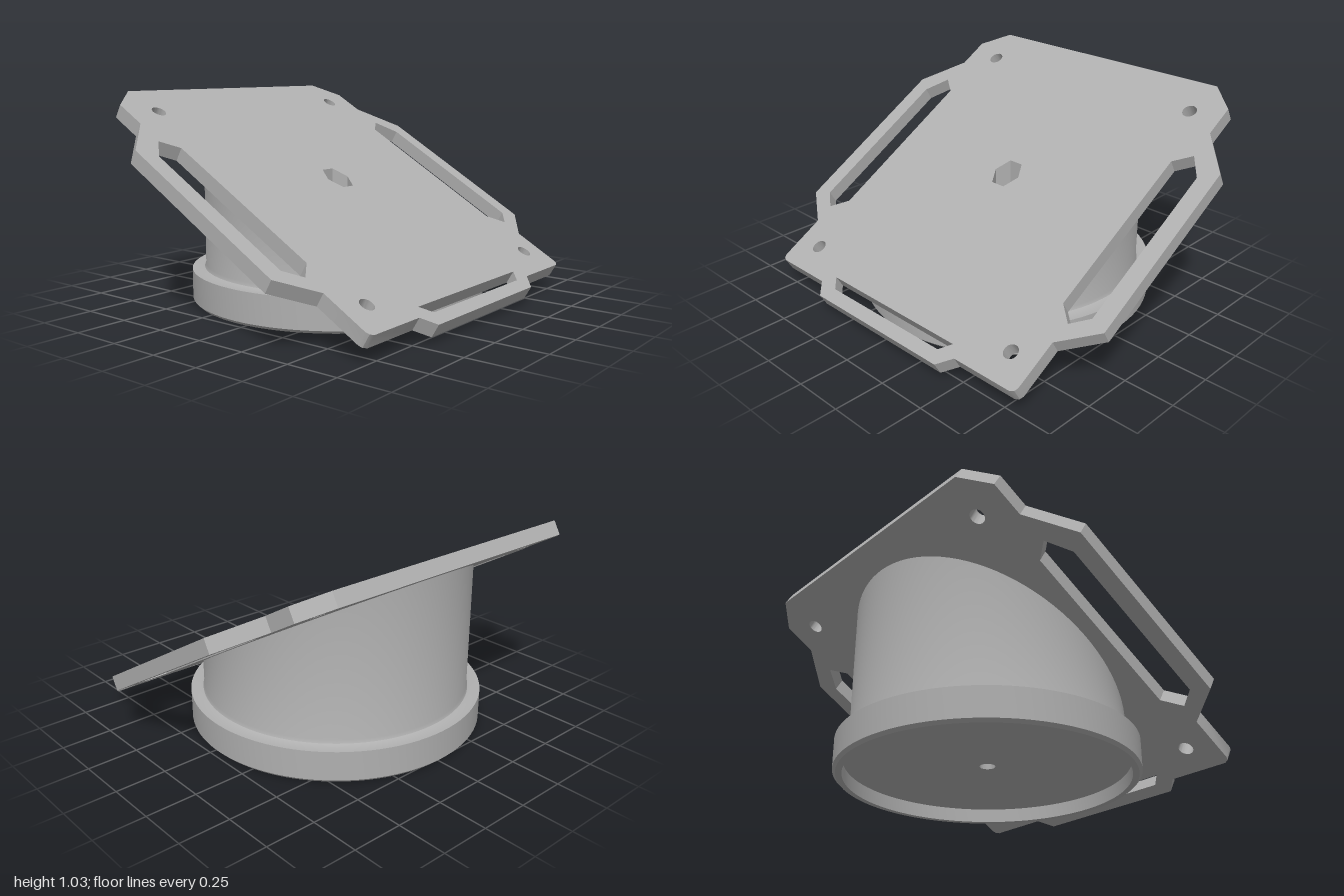
import * as THREE from 'three';
import { toCreasedNormals } from 'three/addons/utils/BufferGeometryUtils.js';

const TILT = Math.PI / 6, COS = Math.cos(TILT), TAN = Math.tan(TILT);
const THICK = 0.07, TOP_Y = 0.568;   // plate thickness, height of its top face at x = 0
const AXIS_X = -0.047;               // axis of the round pedestal
const underside = x => TOP_Y - THICK / COS - TAN * x;

export function createModel() {
  const model = new THREE.Group();
  const grey = new THREE.MeshStandardMaterial({ color: 0xb0b0b0, side: THREE.DoubleSide });
  grey.name = 'grey';
  const add = (name, geometry) => {
    const mesh = new THREE.Mesh(toCreasedNormals(geometry, 0.5), grey);
    mesh.name = name;
    model.add(mesh);
    return mesh;
  };

  // Points are [x, z] seen from above, stretched onto the sloping plate
  const toPlate = ([x, z]) => new THREE.Vector2(x / COS, -z);
  const hole = pts => new THREE.Path(pts.map(toPlate));
  const mirrorZ = pts => pts.map(([x, z]) => [x, -z]).reverse();

  // Tilted plate outline with handles on three sides
  const half = [[-0.8, 0.695], [-0.698, 0.825], [-0.555, 0.825], [-0.38, 1], [0.42, 1], [0.54, 0.825],
    [0.75, 0.825], [0.765, 0.817], [0.774, 0.797]];
  const outline = [...half, [0.774, 0.485], [0.832, 0.425], [0.832, -0.405], [0.774, -0.47], ...mirrorZ(half)];
  const plate = new THREE.Shape(outline.map(toPlate));

  // Handle slots
  const slot = [[-0.425, 0.83], [-0.33, 0.912], [0.39, 0.912], [0.45, 0.83], [0.385, 0.747], [-0.367, 0.747]];
  plate.holes.push(hole(slot), hole(mirrorZ(slot)),
    hole([[0.728, 0.425], [0.775, 0.375], [0.775, -0.365], [0.728, -0.415]]));

  // Screw holes
  for (const [x, z] of [[-0.635, 0.645], [-0.635, -0.655], [0.645, 0.675], [0.645, -0.685]]) {
    const c = toPlate([x, z]);
    plate.holes.push(new THREE.Path().absarc(c.x, c.y, 0.036, 0, Math.PI * 2, true));
  }

  // Hexagonal bolt pocket
  const hexagon = [];
  for (let i = 0; i < 6; i++) {
    const a = i * Math.PI / 3;
    hexagon.push([AXIS_X + 0.077 * Math.sin(a), 0.077 * Math.cos(a)]);
  }
  plate.holes.push(hole(hexagon));

  const plateGeo = new THREE.ExtrudeGeometry(plate, { depth: THICK, bevelEnabled: false, curveSegments: 16 });
  plateGeo.rotateX(-Math.PI / 2).translate(0, -THICK, 0);
  // Lean the pocket walls so that they stand upright once the plate is tilted
  const p = plateGeo.attributes.position;
  for (let i = 0; i < p.count; i++) {
    if (Math.hypot(p.getX(i) - AXIS_X / COS, p.getZ(i)) < 0.12) p.setX(i, p.getX(i) - p.getY(i) * TAN);
  }
  plateGeo.rotateZ(-TILT).translate(0, TOP_Y, 0);
  add('tiltedPlate', plateGeo);

  // Cut a geometry off along the underside of the plate
  const trim = geometry => {
    const a = geometry.attributes.position;
    for (let i = 0; i < a.count; i++) a.setY(i, Math.min(a.getY(i), underside(a.getX(i)) + 0.003));
    return geometry;
  };

  // Round pedestal with flange and recessed bottom
  const profile = [[0.038, 0.07], [0.685, 0.07], [0.685, 0], [0.715, 0], [0.73, 0.015], [0.73, 0.16],
    [0.685, 0.16], [0.669, 0.167], [0.663, 0.183], [0.663, 2]].map(q => new THREE.Vector2(...q));
  add('pedestal', trim(new THREE.LatheGeometry(profile, 96).translate(AXIS_X, 0, 0)));

  // Inside of the bolt pocket: hexagonal walls, floor and round bore
  const floorY = 0.3;
  add('pocketWalls', trim(new THREE.CylinderGeometry(0.077, 0.077, 1, 6, 1, true)
    .translate(AXIS_X, floorY + 0.5, 0)));
  const floor = new THREE.Shape(hexagon.map(([x, z]) => new THREE.Vector2(x, -z)));
  floor.holes.push(new THREE.Path().absarc(AXIS_X, 0, 0.038, 0, Math.PI * 2, true));
  add('pocketFloor', new THREE.ShapeGeometry(floor, 16).rotateX(-Math.PI / 2).translate(0, floorY, 0));
  add('boltBore', new THREE.CylinderGeometry(0.038, 0.038, floorY - 0.07, 32, 1, true)
    .translate(AXIS_X, (floorY + 0.07) / 2, 0));

  return model;
}
